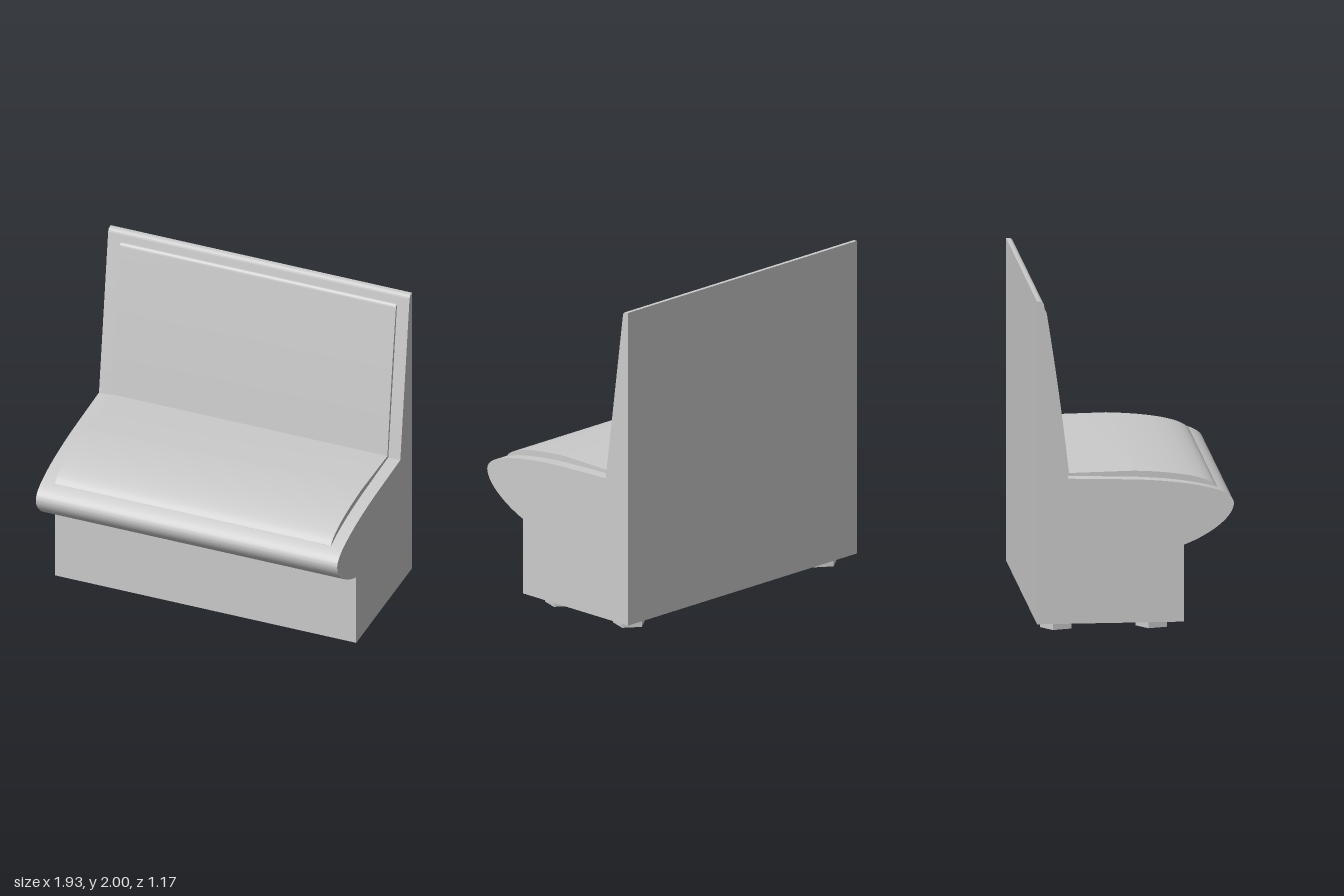
import * as THREE from 'three';
import { toCreasedNormals } from 'three/addons/utils/BufferGeometryUtils.js';

const material = new THREE.MeshStandardMaterial({ color: 0xcccccc });

// Extrude a side profile drawn in (z, y) across the bench from x0 to x1
function sideExtrude(name, shape, x0, x1) {
  const geo = new THREE.ExtrudeGeometry(shape, { depth: x1 - x0, bevelEnabled: false, curveSegments: 16 });
  geo.rotateY(-Math.PI / 2);
  geo.translate(x1, 0, 0);
  const mesh = new THREE.Mesh(toCreasedNormals(geo, 0.5), material);
  mesh.name = name;
  return mesh;
}

export function createModel() {
  const bench = new THREE.Group();
  bench.name = 'boothBench';

  // Plinth, rolled seat front and tapering back in one profile
  const body = new THREE.Shape();
  body.moveTo(-0.585, 0.05);
  body.lineTo(0.29, 0.05);
  body.lineTo(0.29, 0.515);
  body.bezierCurveTo(0.45, 0.575, 0.587, 0.68, 0.587, 0.76);
  body.bezierCurveTo(0.587, 0.79, 0.56, 0.82, 0.497, 0.842);
  body.bezierCurveTo(0.38, 0.882, 0.2, 0.905, 0, 0.915);
  body.lineTo(-0.4, 0.927);
  body.lineTo(-0.543, 1.975);
  body.quadraticCurveTo(-0.546, 2, -0.57, 2);
  body.lineTo(-0.585, 2);
  body.closePath();
  bench.add(sideExtrude('body', body, -0.965, 0.965));

  // Raised seat and back pad, its underside sunk into the body
  const pad = new THREE.Shape();
  pad.moveTo(0.497, 0.835);
  pad.lineTo(0.497, 0.843);
  pad.bezierCurveTo(0.46, 0.905, 0.27, 0.94, 0, 0.951);
  pad.lineTo(-0.387, 0.944);
  pad.quadraticCurveTo(-0.437, 1.4, -0.518, 1.905);
  pad.quadraticCurveTo(-0.521, 1.93, -0.537, 1.93);
  pad.lineTo(-0.55, 1.93);
  pad.lineTo(-0.42, 0.9);
  pad.lineTo(0, 0.89);
  pad.quadraticCurveTo(0.3, 0.87, 0.497, 0.835);
  bench.add(sideExtrude('cushion', pad, -0.88, 0.888));

  // Five-sided feet, flat side to the front
  for (const x of [-0.802, 0.815]) {
    for (const z of [0.117, -0.452]) {
      const geo = new THREE.CylinderGeometry(0.1, 0.1, 0.05, 5).toNonIndexed();
      geo.computeVertexNormals();
      const foot = new THREE.Mesh(geo, material);
      foot.name = 'foot';
      foot.rotation.y = Math.PI;
      foot.position.set(x, 0.025, z);
      bench.add(foot);
    }
  }
  return bench;
}
